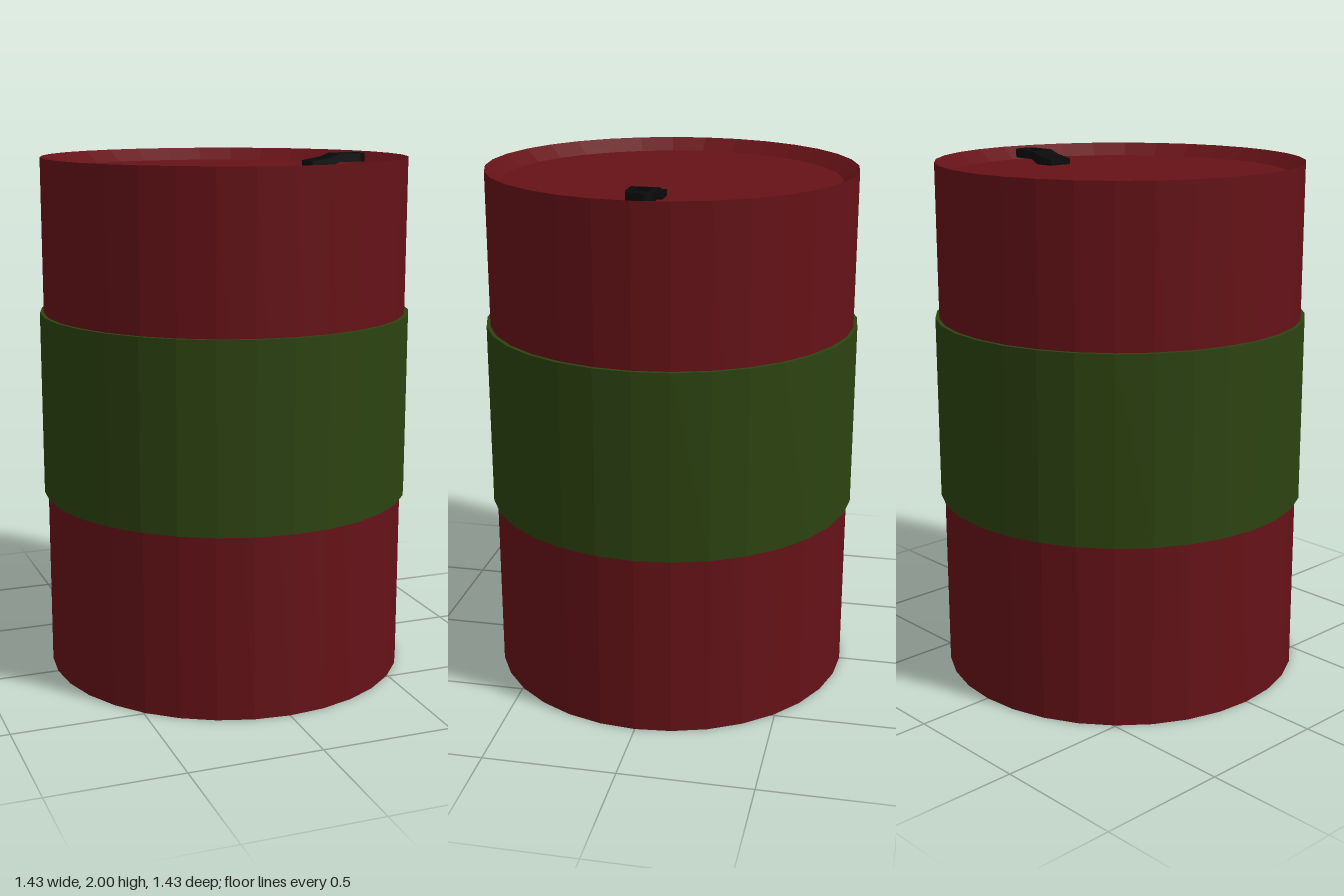
import * as THREE from 'three';

const SIDES = 32;
const paint = (color) => new THREE.MeshStandardMaterial({ color, flatShading: true });

function lathe(name, points, material) {
  const profile = points.map(([r, y]) => new THREE.Vector2(r, y));
  const mesh = new THREE.Mesh(new THREE.LatheGeometry(profile, SIDES), material);
  mesh.name = name;
  return mesh;
}

// Outline running along x with a square start and a rounded far end
function rounded(path, x0, x1, halfWidth, r) {
  path.moveTo(x0, -halfWidth);
  path.lineTo(x1 - r, -halfWidth);
  path.absarc(x1 - r, -halfWidth + r, r, -Math.PI / 2, 0);
  path.lineTo(x1, halfWidth - r);
  path.absarc(x1 - r, halfWidth - r, r, 0, Math.PI / 2);
  path.lineTo(x0, halfWidth);
  path.closePath();
  return path;
}

// Horizontal slab between two heights
function slab(name, shape, y0, y1, material) {
  const geometry = new THREE.ExtrudeGeometry(shape, { depth: y1 - y0, bevelEnabled: false, curveSegments: 6 });
  geometry.rotateX(-Math.PI / 2).translate(0, y0, 0);
  const mesh = new THREE.Mesh(geometry, material);
  mesh.name = name;
  return mesh;
}

export function createModel() {
  const group = new THREE.Group();
  group.name = 'barrel';
  const red = paint(0x651217);
  const green = paint(0x2c4310);
  const black = paint(0x0a0a0a);

  // Drum with a dished lid
  group.add(lathe('drum', [[0, 0], [0.7, 0], [0.7, 1.997], [0.64, 1.95], [0, 1.95]], red));

  // Raised band around the middle
  group.add(lathe('band', [[0.69, 0.7], [0.715, 0.7], [0.715, 1.41], [0.69, 1.41]], green));

  // Pull tab: a hinge rising from the lid, then a raised loop with a recess
  const tab = new THREE.Group();
  tab.name = 'pullTab';
  const side = new THREE.Shape([
    [0.345, 1.948], [0.42, 1.948], [0.46, 1.968], [0.46, 2.0], [0.42, 1.985], [0.345, 1.972],
  ].map(([x, y]) => new THREE.Vector2(x, y)));
  const hingeGeometry = new THREE.ExtrudeGeometry(side, { depth: 0.104, bevelEnabled: false });
  hingeGeometry.translate(0, 0, -0.052);
  const hinge = new THREE.Mesh(hingeGeometry, black);
  hinge.name = 'tabHinge';

  const loop = rounded(new THREE.Shape(), 0.46, 0.582, 0.052, 0.042);
  loop.holes.push(rounded(new THREE.Path(), 0.465, 0.562, 0.03, 0.022));
  tab.add(
    hinge,
    slab('tabLoop', loop, 1.968, 2.0, black),
    slab('tabRecess', rounded(new THREE.Shape(), 0.46, 0.565, 0.032, 0.024), 1.968, 1.985, black),
  );
  group.add(tab);
  return group;
}
